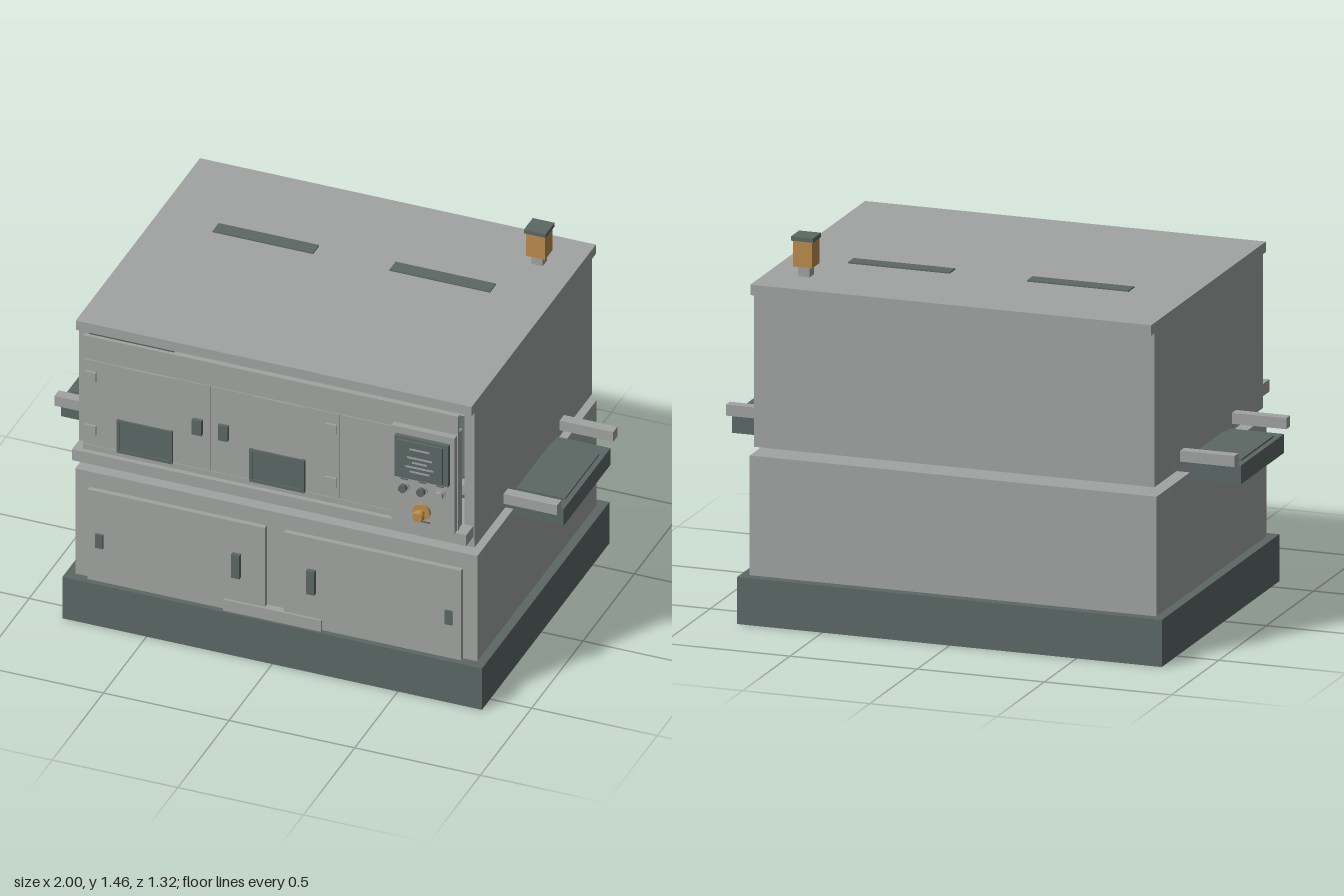
import * as THREE from 'three';

const mat = (name, color) => {
  const m = new THREE.MeshStandardMaterial({ color });
  m.name = name;
  return m;
};

export function createModel() {
  const grey = mat('paintedGrey', 0xa0a4a1);
  const dark = mat('darkSlate', 0x5c6865);
  const amber = mat('amber', 0xbb8c4c);
  const model = new THREE.Group();
  model.name = 'tunnelMachine';

  // Box given by its extents on each axis
  const box = (name, m, [x0, x1], [y0, y1], [z0, z1], parent = model) => {
    const mesh = new THREE.Mesh(new THREE.BoxGeometry(x1 - x0, y1 - y0, z1 - z0), m);
    mesh.position.set((x0 + x1) / 2, (y0 + y1) / 2, (z0 + z1) / 2);
    mesh.name = name;
    parent.add(mesh);
    return mesh;
  };
  // Round part whose axis points to the front
  const disc = (name, m, r, x, y, z0, z1, parent = model, rFront = r) => {
    const g = new THREE.CylinderGeometry(rFront, r, z1 - z0, 24).rotateX(Math.PI / 2);
    const mesh = new THREE.Mesh(g, m);
    mesh.position.set(x, y, (z0 + z1) / 2);
    mesh.name = name;
    parent.add(mesh);
  };
  const around = (c, w) => [c - w / 2, c + w / 2];
  const group = (name) => {
    const g = new THREE.Group();
    g.name = name;
    model.add(g);
    return g;
  };

  // Plinth and lower cabinet
  box('plinth', dark, [-0.835, 0.835], [0, 0.18], [-0.66, 0.58]);
  box('lowerCabinet', grey, [-0.8, 0.8], [0.18, 0.638], [-0.62, 0.54]);
  const lower = group('lowerDoors');
  for (const s of [-1, 1]) {
    box('lowerDoor', grey, around(s * 0.39, 0.705), [0.182, 0.572], [0.54, 0.56], lower);
    box('lowerHandle', dark, around(s * 0.149, 0.033), [0.335, 0.437], [0.56, 0.577], lower);
    box('lowerLock', dark, around(s * 0.695, 0.03), [0.33, 0.39], [0.56, 0.568], lower);
  }
  box('kickPlate', grey, [-0.2, 0.19], [0.18, 0.228], [0.54, 0.57], lower);

  // Hollow upper housing, open at the front and bottom
  const hood = group('upperHousing');
  for (const s of [-1, 1])
    box('sideWall', grey, around(s * 0.767, 0.04), [0.67, 1.26], [-0.61, 0.535], hood);
  box('backWall', grey, [-0.75, 0.75], [0.67, 1.26], [-0.61, -0.57], hood);
  box('roof', grey, [-0.788, 0.788], [1.26, 1.3], [-0.645, 0.565], hood);
  for (const s of [-1, 1])
    box('roofVent', dark, around(s * 0.352, 0.4), [1.3, 1.305], [-0.25, -0.19], hood);

  // Conveyor and its two guide rails
  const conveyor = group('conveyor');
  box('conveyorBed', dark, [-1, 1], [0.612, 0.684], [-0.268, 0.188], conveyor);
  box('conveyorBelt', dark, [-0.98, 0.98], [0.684, 0.691], [-0.207, 0.128], conveyor);
  for (const z of [0.232, -0.315])
    box('guideRail', grey, [-1, 1], [0.696, 0.738], around(z, 0.042), conveyor);

  // Front fascia with two doors
  const front = group('frontFascia');
  box('fasciaPanel', grey, [-0.75, 0.742], [0.762, 1.257], [0.569, 0.584], front);
  box('frontLedge', grey, [-0.787, 0.782], [0.715, 0.762], [0.535, 0.604], front);
  box('lowerTrim', grey, [-0.75, 0.742], [0.765, 0.788], [0.584, 0.588], front);
  for (const [x0, x1] of [[-0.748, -0.242], [-0.238, 0.27], [0.274, 0.74]])
    box('frontDoor', grey, [x0, x1], [0.79, 1.157], [0.584, 0.588], front);
  for (const x of [-0.502, 0.025]) {
    box('doorColumn', grey, around(x, 0.195), [0.79, 1.156], [0.588, 0.591], front);
    box('windowPane', dark, around(x, 0.2), [0.795, 0.918], [0.588, 0.595], front);
    for (const y of [0.793, 0.922])
      box('windowFrame', dark, around(x, 0.22), around(y, 0.012), [0.588, 0.599], front);
    for (const s of [-1, 1])
      box('windowFrame', dark, around(x + s * 0.104, 0.012), [0.793, 0.922], [0.588, 0.599], front);
  }
  for (const x of [-0.292, -0.188])
    box('doorHandle', dark, around(x, 0.038), [0.94, 1.005], [0.588, 0.603], front);
  for (const x of [-0.718, 0.238])
    for (const y of [0.858, 1.09])
      box('hinge', grey, around(x, 0.044), around(y, 0.04), [0.588, 0.597], front);

  // Control box with screen and buttons
  const panel = group('controlPanel');
  box('controlBox', grey, [0.487, 0.738], [0.757, 1.176], [0.535, 0.61], panel);
  box('screenBezel', dark, [0.506, 0.72], [0.97, 1.147], [0.61, 0.628], panel);
  box('screen', dark, [0.518, 0.7], [0.98, 1.137], [0.628, 0.637], panel);
  [[1.107, 0.08], [1.07, 0.1], [1.05, 0.06], [1.03, 0.11], [1.01, 0.08]].forEach(([y, w]) =>
    box('screenBar', grey, around(0.61, w), around(y, 0.007), [0.637, 0.639], panel));
  [[0.538, dark], [0.61, dark], [0.682, grey]].forEach(([x, m]) => {
    disc('buttonRing', grey, 0.021, x, 0.921, 0.61, 0.616, panel);
    disc('button', m, 0.016, x, 0.921, 0.616, 0.634, panel);
    box('buttonPlate', dark, around(x, 0.03), around(0.954, 0.005), [0.61, 0.612], panel);
  });
  disc('stopCollar', amber, 0.034, 0.61, 0.83, 0.61, 0.622, panel);
  disc('stopStem', amber, 0.013, 0.61, 0.83, 0.622, 0.647, panel);
  disc('stopKnob', amber, 0.023, 0.61, 0.83, 0.647, 0.661, panel, 0.019);
  box('stopPlate', dark, around(0.61, 0.06), around(0.785, 0.006), [0.61, 0.612], panel);

  // Signal lamp on the roof
  const lamp = group('signalLamp');
  box('lampStem', grey, around(0.64, 0.045), [1.3, 1.34], around(-0.455, 0.045), lamp);
  box('lampBody', amber, around(0.64, 0.076), [1.34, 1.44], around(-0.455, 0.076), lamp);
  box('lampCap', dark, around(0.64, 0.087), [1.44, 1.456], around(-0.455, 0.087), lamp);

  return model;
}
